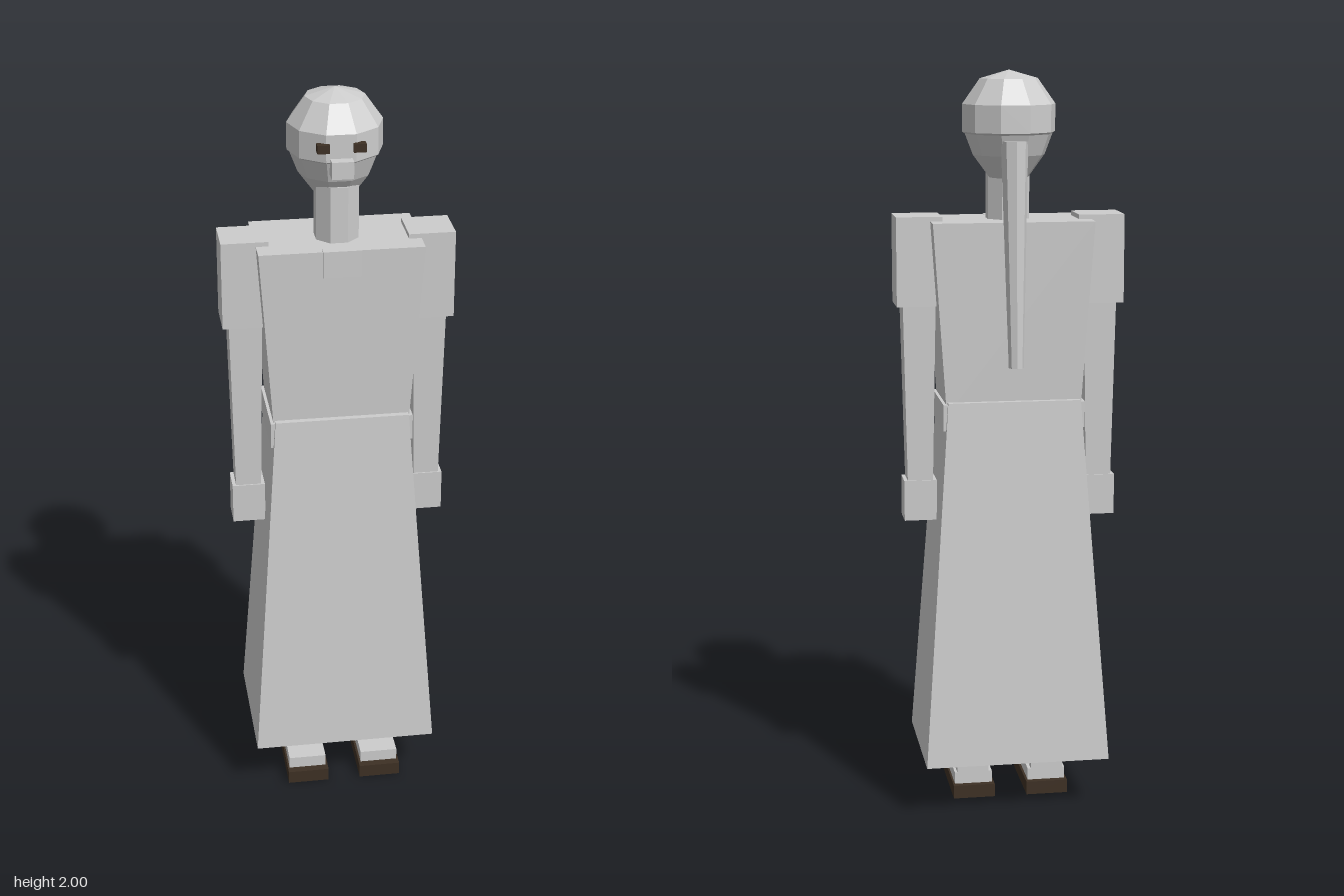
import * as THREE from 'three';

export function createModel() {
  const model = new THREE.Group();
  const paleGrey = new THREE.MeshStandardMaterial({ color: 0xcccccc });
  const darkBrown = new THREE.MeshStandardMaterial({ color: 0x3d3024 });

  // Adds a part with hard facets
  function add(name, geometry, material = paleGrey) {
    const flat = geometry.index ? geometry.toNonIndexed() : geometry;
    flat.computeVertexNormals();
    const mesh = new THREE.Mesh(flat, material);
    mesh.name = name;
    model.add(mesh);
  }

  // Box between limits
  function box(x0, x1, y0, y1, z0, z1) {
    return new THREE.BoxGeometry(x1 - x0, y1 - y0, z1 - z0)
      .translate((x0 + x1) / 2, (y0 + y1) / 2, (z0 + z1) / 2);
  }

  // Box tapering from half sizes [x, z] at the bottom to others at the top
  function taperedBox(y0, y1, bottom, top) {
    const g = new THREE.BoxGeometry(2, y1 - y0, 2).translate(0, (y0 + y1) / 2, 0);
    const p = g.attributes.position;
    for (let i = 0; i < p.count; i++) {
      const half = p.getY(i) > (y0 + y1) / 2 ? top : bottom;
      p.setX(i, p.getX(i) * half[0]);
      p.setZ(i, p.getZ(i) * half[1]);
    }
    return g;
  }

  // Dress
  add('skirt', taperedBox(0.145, 1.135, [0.25, 0.192], [0.178, 0.125]));
  add('waistband', box(-0.19, 0.19, 1.06, 1.13, -0.118, 0.118));
  add('bodice', taperedBox(1.1, 1.61, [0.18, 0.108], [0.215, 0.12]));
  add('collarTab', box(-0.05, 0.05, 1.54, 1.612, 0.1, 0.126));

  // Neck and faceted head
  add('neck', new THREE.CylinderGeometry(0.06, 0.06, 0.17, 8)
    .rotateY(Math.PI / 8).translate(0, 1.675, 0.008));
  const headProfile = [
    [0, 1.72], [0.052, 1.72], [0.096, 1.78], [0.117, 1.835],
    [0.124, 1.84], [0.124, 1.912], [0.077, 1.978], [0, 2],
  ].map(([r, y]) => new THREE.Vector2(r, y));
  add('head', new THREE.LatheGeometry(headProfile, 10)
    .rotateY(Math.PI / 10).translate(0, 0, -0.018));
  add('nose', box(-0.028, 0.028, 1.805, 1.85, 0.07, 0.128));

  // Ponytail leaning away from the head as it narrows
  const tail = new THREE.CylinderGeometry(0.036, 0.02, 0.59, 8).translate(0, 1.525, 0);
  const p = tail.attributes.position;
  for (let i = 0; i < p.count; i++) {
    const down = (1.82 - p.getY(i)) / 0.59;
    p.setZ(i, p.getZ(i) - 0.115 - 0.031 * down);
  }
  add('ponytail', tail);

  // Mirrored eyes, arms and legs
  for (const [side, s] of [['left', 1], ['right', -1]]) {
    const pair = (x0, x1, ...rest) =>
      box(Math.min(s * x0, s * x1), Math.max(s * x0, s * x1), ...rest);
    add(side + 'Eye', pair(0.03, 0.062, 1.868, 1.89, 0.09, 0.112), darkBrown);
    add(side + 'Sleeve', pair(0.182, 0.305, 1.385, 1.622, -0.06, 0.06));
    add(side + 'Arm', taperedBox(0.9, 1.4, [0.034, 0.036], [0.044, 0.044])
      .translate(s * 0.244, 0, 0));
    add(side + 'Hand', pair(0.2, 0.288, 0.8, 0.91, -0.04, 0.04));
    add(side + 'Leg', pair(0.06, 0.148, 0.06, 0.2, -0.04, 0.04));
    add(side + 'Foot', pair(0.051, 0.155, 0.035, 0.07, -0.037, 0.148));
    add(side + 'Sole', pair(0.045, 0.16, 0, 0.037, -0.054, 0.17), darkBrown);
  }
  return model;
}
